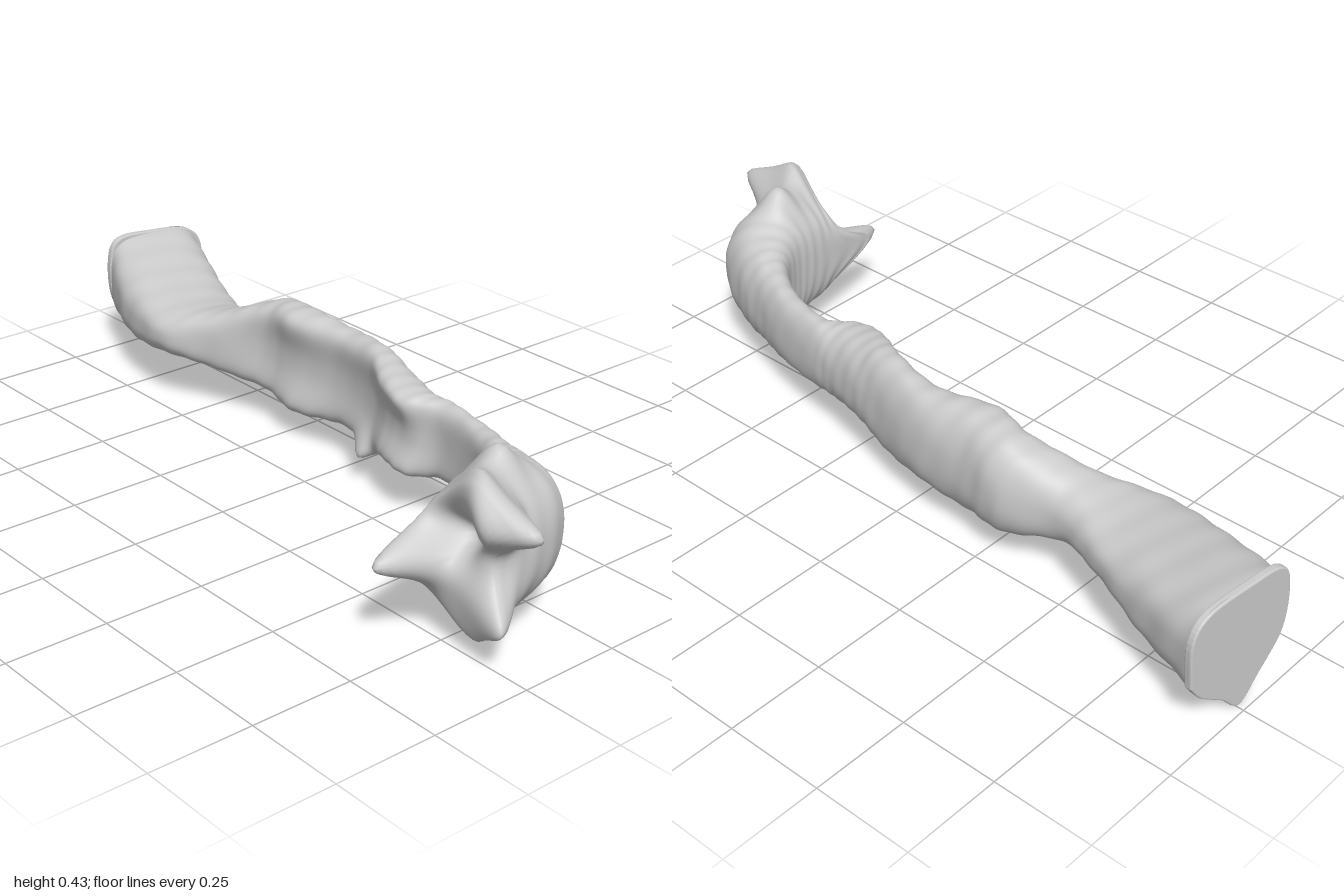
import * as THREE from 'three';

const material = new THREE.MeshStandardMaterial({ color: 0xcccccc, side: THREE.DoubleSide });

// Cross-sections: inner edge x,z, outer edge x,z, bottom y, top y, hollow of the inner side
const sections = [
  [0.12, -0.99, 0.40, -0.96, 0.085, 0.328, 0],
  [0.04, -0.80, 0.335, -0.78, 0.09, 0.285, 0],
  [0.005, -0.60, 0.265, -0.60, 0.12, 0.258, 0],
  [0.055, -0.46, 0.22, -0.46, 0.11, 0.28, 0.1],
  [0.10, -0.32, 0.265, -0.32, 0.085, 0.335, 0.3],
  [0.08, -0.20, 0.25, -0.20, 0.072, 0.35, 0.5],
  [0.115, -0.05, 0.243, -0.05, 0.088, 0.34, 0.4],
  [0.09, 0.10, 0.21, 0.10, 0.088, 0.35, 0.45],
  [0.03, 0.20, 0.19, 0.20, 0.11, 0.335, 0.5],
  [0.01, 0.29, 0.167, 0.30, 0.11, 0.32, 0.5],
  [0.068, 0.38, 0.153, 0.38, 0.12, 0.312, 0.25],
  [0.035, 0.52, 0.125, 0.52, 0.112, 0.312, 0.25],
  [-0.03, 0.62, 0.09, 0.63, 0.10, 0.325, 0.2],
  [-0.09, 0.655, 0.06, 0.73, 0.085, 0.345, 0.15],
  [-0.15, 0.665, -0.005, 0.85, 0.075, 0.37, 0.1],
  [-0.215, 0.67, -0.15, 0.90, 0.075, 0.365, 0.1],
  [-0.26, 0.685, -0.235, 0.88, 0.095, 0.345, 0],
];

// Local pulls on the skin: start point, tip it is drawn to, radius of influence
const pulls = [
  [-0.25, 0.21, 0.71, -0.415, 0.215, 0.715, 0.05], // side spike
  [-0.22, 0.32, 0.86, -0.24, 0.34, 1.01, 0.042], // front knob
  [-0.25, 0.30, 0.81, -0.34, 0.302, 0.87, 0.042], // upper prong
  [-0.24, 0.13, 0.86, -0.28, 0.115, 0.95, 0.05], // lower lobe
  [-0.23, 0.35, 0.80, -0.245, 0.425, 0.83, 0.045], // upper outer bump
  [-0.13, 0.37, 0.77, -0.13, 0.43, 0.775, 0.05], // upper inner bump
  [-0.23, 0.09, 0.80, -0.235, 0.04, 0.83, 0.045], // lower outer bump
  [-0.12, 0.08, 0.78, -0.115, 0.025, 0.785, 0.05], // lower inner bump
  [-0.25, 0.265, 0.78, -0.16, 0.265, 0.78, 0.05], // cleft between the lobes
  [0.12, 0.10, 0.08, 0.09, 0.076, 0.09, 0.035], // lip under the hollow
  [0.245, 0.085, -0.97, 0.245, 0.012, -0.975, 0.045], // flare at the flat end
];

// Joins rings of points into a skin and closes both ends
function loft(rings) {
  const n = rings[0].length, pos = [], index = [];
  rings.forEach(r => r.forEach(p => pos.push(p.x, p.y, p.z)));
  for (let i = 0; i < rings.length - 1; i++) {
    for (let j = 0; j < n; j++) {
      const a = i * n + j, b = i * n + (j + 1) % n;
      index.push(a, b, a + n, b, b + n, a + n);
    }
  }
  [0, rings.length - 1].forEach(e => {
    const m = centre(rings[e]), c = pos.length / 3;
    pos.push(m.x, m.y, m.z);
    for (let j = 0; j < n; j++) {
      const a = e * n + j, b = e * n + (j + 1) % n;
      if (e) index.push(c, a, b); else index.push(c, b, a);
    }
  });
  const g = new THREE.BufferGeometry();
  g.setAttribute('position', new THREE.Float32BufferAttribute(pos, 3));
  g.setIndex(index);
  return g;
}

function centre(ring) {
  return ring.reduce((m, p) => m.addScaledVector(p, 1 / ring.length), new THREE.Vector3());
}

// Smooth interpolation through the section table
function sectionAt(t) {
  const last = sections.length - 1, i = Math.min(Math.floor(t), last - 1), f = t - i;
  const at = k => sections[Math.max(0, Math.min(last, k))];
  return at(i).map((b, k) => {
    const a = at(i - 1)[k], c = at(i + 1)[k], d = at(i + 2)[k];
    return b + 0.5 * f * (c - a + f * (2 * a - 5 * b + 4 * c - d + f * (3 * (b - c) + d - a)));
  });
}

function trunkRings() {
  const rings = [], steps = 12, sides = 72;
  for (let s = 0; s <= (sections.length - 1) * steps; s++) {
    const [xi, zi, xo, zo, y0, y1, hollow] = sectionAt(s / steps);
    // Squarer towards the flat end
    const power = THREE.MathUtils.lerp(0.62, 0.87, Math.min(1, s / steps / 3));
    const ring = [];
    for (let j = 0; j < sides; j++) {
      const a = j / sides * Math.PI * 2, c = Math.cos(a), sn = Math.sin(a);
      let u = Math.sign(c) * Math.abs(c) ** power;
      const v = Math.sign(sn) * Math.abs(sn) ** power;
      if (c < 0) u += hollow * 1.3 * c ** 4;
      // Faint slanting ripples
      const k = 1 + 0.01 * Math.sin(s * 1.1 + 3 * a) + 0.006 * Math.sin(s * 0.43 - 5 * a);
      ring.push(new THREE.Vector3(
        (xi + xo) / 2 + (xo - xi) / 2 * u * k,
        (y0 + y1) / 2 + (y1 - y0) / 2 * v * k,
        (zi + zo) / 2 + (zo - zi) / 2 * u * k));
    }
    rings.push(ring);
  }
  // Rounded face closing the head
  const rim = rings[rings.length - 1], middle = centre(rim);
  for (let i = 1; i <= 14; i++) {
    const q = i / 15 * Math.PI / 2;
    rings.push(rim.map(p => {
      const r = p.clone().lerp(middle, 1 - Math.cos(q));
      r.x -= 0.02 * Math.sin(q);
      return r;
    }));
  }
  return rings;
}

// Draws the skin out to each tip with a soft falloff
function pullSkin(geometry) {
  const pos = geometry.attributes.position;
  const rest = Array.from({ length: pos.count }, (_, i) => new THREE.Vector3().fromBufferAttribute(pos, i));
  const moved = rest.map(p => p.clone());
  pulls.forEach(([x, y, z, tx, ty, tz, radius]) => {
    const start = new THREE.Vector3(x, y, z);
    const anchor = rest.reduce((a, b) => (b.distanceToSquared(start) < a.distanceToSquared(start) ? b : a));
    const move = new THREE.Vector3(tx, ty, tz).sub(anchor);
    rest.forEach((p, i) => moved[i].addScaledVector(move, Math.exp(-p.distanceToSquared(anchor) / radius ** 2)));
  });
  moved.forEach((p, i) => pos.setXYZ(i, p.x, p.y, p.z));
  geometry.computeVertexNormals();
  return geometry;
}

function add(group, name, geometry) {
  const mesh = new THREE.Mesh(geometry, material);
  mesh.name = name;
  group.add(mesh);
  return mesh;
}

export function createModel() {
  const model = new THREE.Group();
  model.name = 'curvedTrunk';
  add(model, 'trunk', pullSkin(loft(trunkRings())));

  // Flat cut end with a pointed lower lip
  const outline = [[0.14, 0.14], [0.145, 0.26], [0.1, 0.315], [-0.01, 0.328], [-0.11, 0.325],
    [-0.142, 0.27], [-0.135, 0.15], [-0.07, 0.06], [-0.017, 0.003], [0.04, 0.05], [0.105, 0.095]];
  const curve = new THREE.SplineCurve([...outline, outline[0]].map(p => new THREE.Vector2(...p)));
  const cap = add(model, 'flatEnd', new THREE.ExtrudeGeometry(new THREE.Shape(curve.getPoints(66)), {
    depth: 0.012, bevelThickness: 0.004, bevelSize: 0.004, bevelOffset: -0.004, bevelSegments: 2 }));
  cap.position.set(0.26, 0, -0.978);
  cap.rotation.y = -0.124;
  return model;
}
